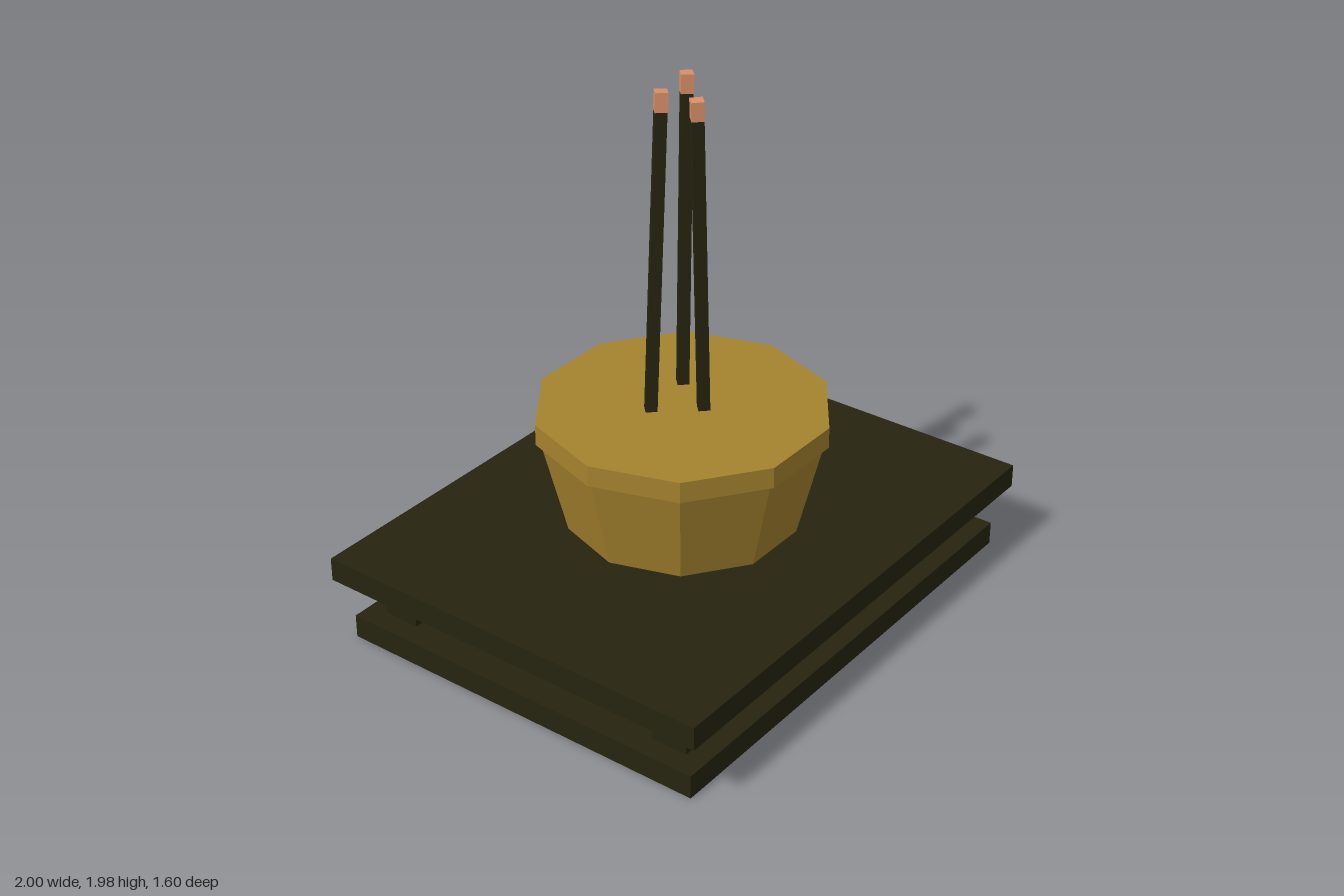
import * as THREE from 'three';

const flat = (name, color) => {
  const m = new THREE.MeshStandardMaterial({ color });
  m.name = name;
  m.flatShading = true;
  return m;
};

export function createModel() {
  const model = new THREE.Group();
  model.name = 'incenseStand';

  const darkWood = flat('darkWood', 0x26240f);
  const bronze = flat('bronze', 0xa5822e);
  const ember = flat('ember', 0xd99068);

  const add = (name, geometry, material, x, y, z, parent = model) => {
    const mesh = new THREE.Mesh(geometry, material);
    mesh.name = name;
    mesh.position.set(x, y, z);
    parent.add(mesh);
    return mesh;
  };

  // Two-tier table with four short legs
  add('tableBase', new THREE.BoxGeometry(1.9, 0.09, 1.5), darkWood, 0, 0.045, 0);
  add('tableTop', new THREE.BoxGeometry(2, 0.09, 1.6), darkWood, 0, 0.295, 0);
  for (const x of [-0.8, 0.8]) {
    for (const z of [-0.6, 0.6]) {
      add('tableLeg', new THREE.BoxGeometry(0.14, 0.16, 0.14), darkWood, x, 0.17, z);
    }
  }

  // Ten-sided bowl; a corner points along +x
  const bowlStart = Math.PI / 2;
  add('bowlBody', new THREE.CylinderGeometry(0.522, 0.43, 0.37, 10, 1, false, bowlStart), bronze, 0, 0.527, 0);
  add('bowlRim', new THREE.CylinderGeometry(0.54, 0.54, 0.08, 10, 1, false, bowlStart), bronze, 0, 0.752, 0);

  // Leaning four-sided sticks with glowing tips: [x at rim, x at tip, z]
  const low = 0.79, joint = 1.91, top = 1.98;
  const sticks = [[-0.105, -0.037, -0.063], [0.015, -0.03, 0.08], [0.12, 0.143, -0.092]];
  for (const [x0, x1, z] of sticks) {
    const stick = new THREE.Group();
    stick.name = 'incenseStick';
    stick.position.set(x0, low, z);
    stick.rotation.z = -Math.atan2(x1 - x0, top - low);
    model.add(stick);
    const length = joint - low;
    add('stickShaft', new THREE.CylinderGeometry(0.03, 0.03, length + 0.04, 4), darkWood, 0, length / 2 - 0.02, 0, stick);
    add('stickTip', new THREE.CylinderGeometry(0.032, 0.032, top - joint, 4), ember, 0, length + (top - joint) / 2, 0, stick);
  }

  return model;
}
